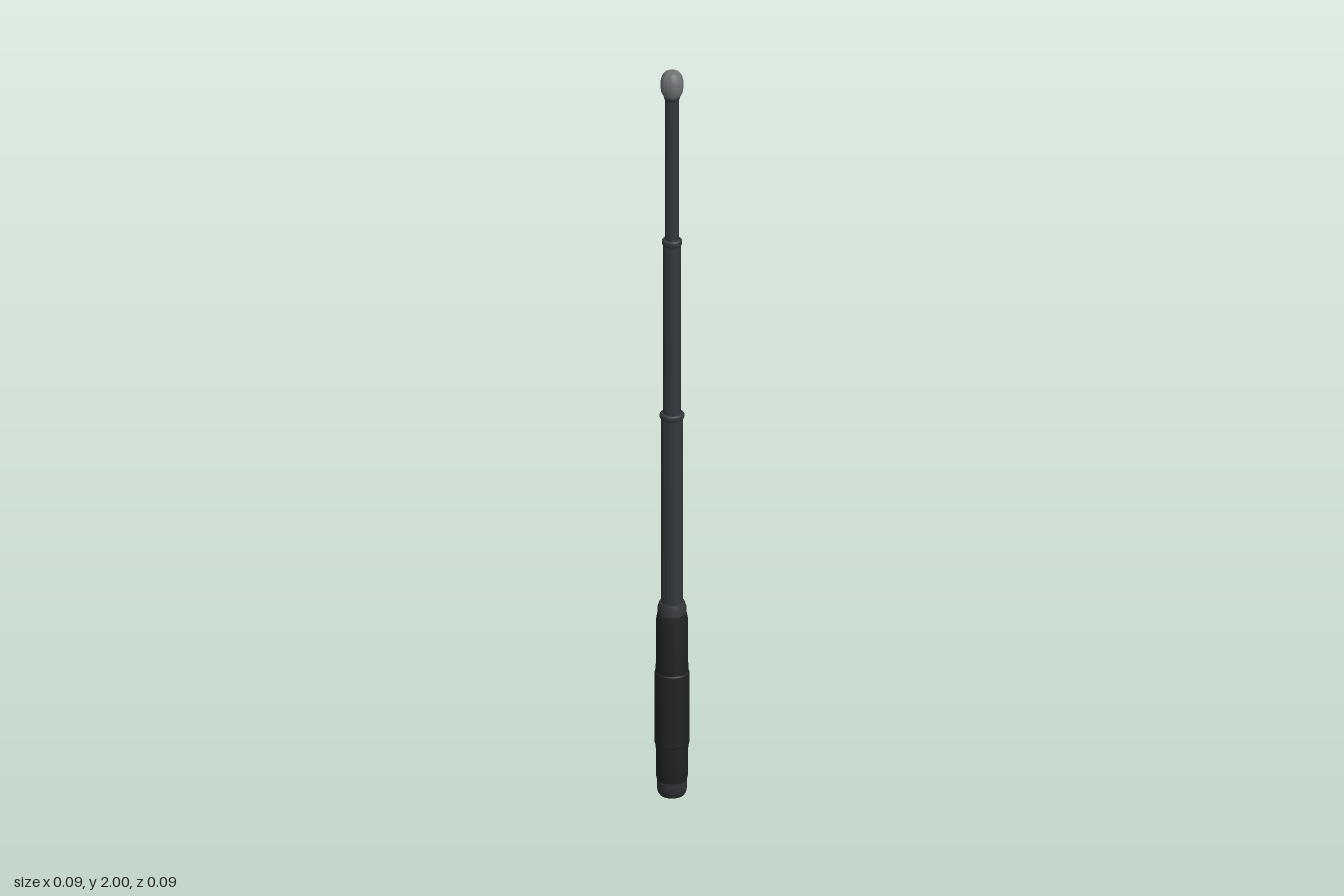
import * as THREE from 'three';
import { toCreasedNormals } from 'three/addons/utils/BufferGeometryUtils.js';

const SIDES = 18;

// Turned part from [radius, height] pairs, listed bottom to top
function turned(name, color, profile) {
  const points = profile.map(([r, y]) => new THREE.Vector2(r, y));
  const geometry = toCreasedNormals(new THREE.LatheGeometry(points, SIDES), 0.5);
  const mesh = new THREE.Mesh(geometry, new THREE.MeshStandardMaterial({ color }));
  mesh.name = name;
  return mesh;
}

// Straight tube whose upper end carries a small raised lip
function section(name, radius, bottom, top) {
  const lip = radius + 0.003;
  return turned(name, 0x35383c, [
    [0, bottom], [radius, bottom], [radius, top - 0.016],
    [lip, top - 0.012], [lip, top - 0.003], [lip - 0.003, top], [0, top],
  ]);
}

export function createModel() {
  const baton = new THREE.Group();
  baton.name = 'telescopicBaton';

  // Handle: end cap, sleeve with a thicker middle band, and collar
  baton.add(turned('endCap', 0x303235, [
    [0, 0], [0.031, 0], [0.036, 0.008], [0.038, 0.02], [0.038, 0.045], [0, 0.045],
  ]));
  baton.add(turned('grip', 0x222325, [
    [0, 0.035], [0.036, 0.035], [0.040, 0.05], [0.041, 0.14], [0.044, 0.143],
    [0.044, 0.338], [0.041, 0.341], [0.040, 0.485], [0.037, 0.502], [0, 0.502],
  ]));
  baton.add(turned('gripCollar', 0x35373a, [
    [0, 0.495], [0.037, 0.495], [0.036, 0.52], [0.032, 0.532], [0, 0.532],
  ]));

  // Three shaft sections, each narrower than the one below
  baton.add(section('lowerShaft', 0.028, 0.5, 1.055));
  baton.add(section('middleShaft', 0.0225, 1.03, 1.535));
  baton.add(section('upperShaft', 0.0175, 1.51, 1.938));

  // Rounded striking tip
  baton.add(turned('tip', 0x707274, [
    [0, 1.932], [0.022, 1.932], [0.027, 1.942], [0.029, 1.955], [0.029, 1.972],
    [0.026, 1.985], [0.019, 1.995], [0.009, 2], [0, 2],
  ]));
  return baton;
}
